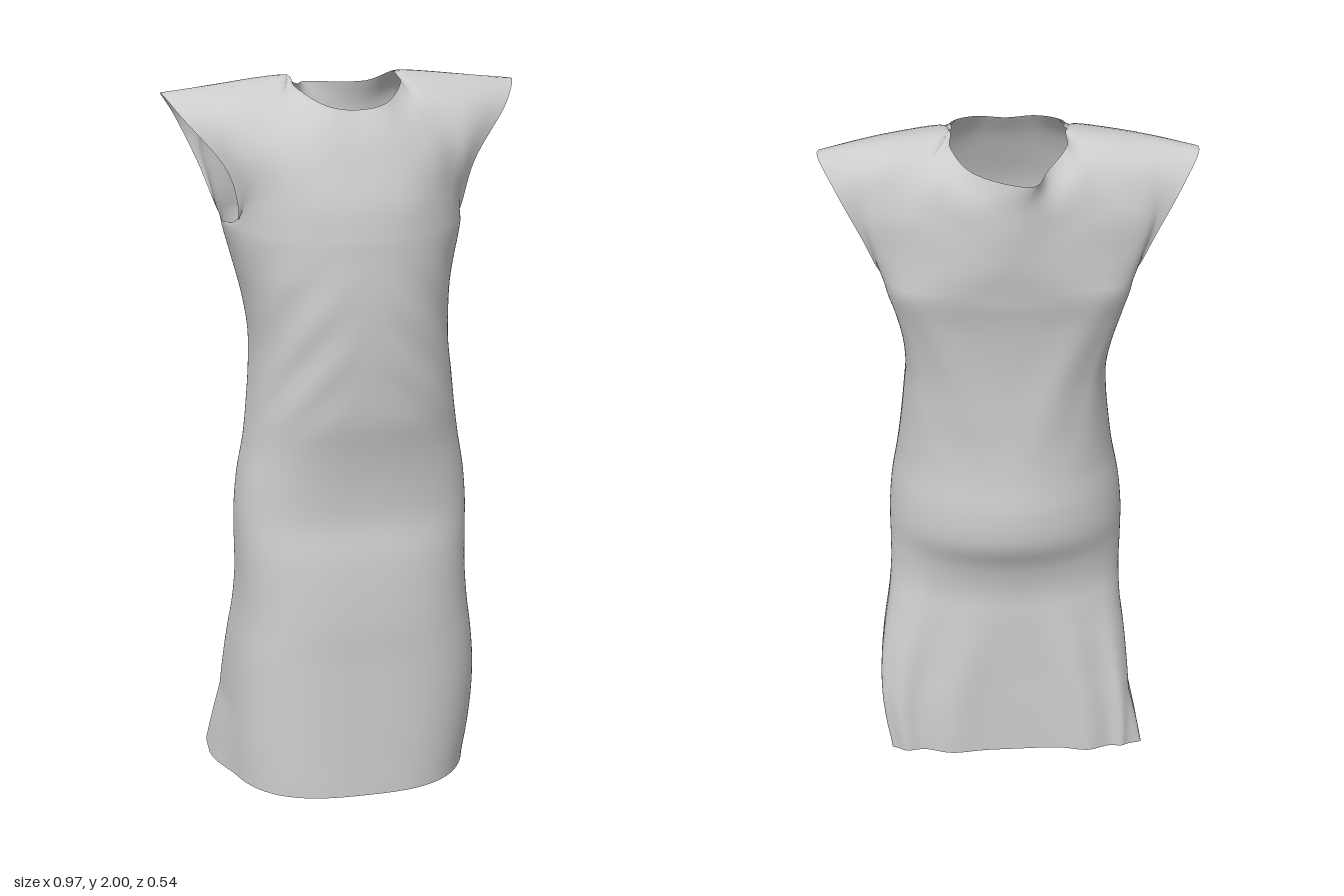
import * as THREE from 'three';
import { mergeVertices } from 'three/addons/utils/BufferGeometryUtils.js';

const V = (x, y, z) => new THREE.Vector3(x, y, z);
const { smoothstep } = THREE.MathUtils;
const CHEST = 1.6; // height of the armhole bottoms
const SHOULDER = .6; // panels meet along the shoulder from here outwards
const SEGS = 80, LOWER = 72, UPPER = 28;

// smooth profile over evenly spaced heights from hem to chest
function profile(values) {
  const curve = new THREE.SplineCurve(values.map((v, i) => new THREE.Vector2(i, v)));
  return (y) => curve.getPoint(y / CHEST).y;
}
const leftX = profile([.345, .36, .37, .37, .36, .345, .335, .333, .333, .325, .308, .295, .285, .277, .282, .30, .325]);
const rightX = profile([.36, .36, .355, .348, .338, .325, .32, .322, .322, .312, .293, .28, .27, .267, .28, .303, .325]);
const frontZ = profile([.27, .265, .26, .255, .25, .248, .24, .228, .21, .212, .225, .245, .255, .262, .265, .262, .255]);
const backZ = profile([-.195, -.192, -.188, -.183, -.178, -.172, -.168, -.19, -.235, -.24, -.225, -.215, -.213, -.213, -.218, -.228, -.245]);
const sideZ = profile([-.13, -.115, -.10, -.08, -.06, -.04, -.02, -.01, 0, 0, 0, -.01, -.02, -.03, -.05, -.07, -.09]);
// roundness of the cross-section: 1 is an ellipse, smaller is boxier
const frontRound = profile([.7, .7, .7, .7, .7, .72, .73, .74, .76, .78, .8, .8, .8, .82, .85, .88, .9]);
const backRound = profile([.5, .53, .58, .66, .74, .82, .9, .97, 1, 1, .96, .9, .82, .72, .62, .54, .5]);

// soft creases in the cloth, fading out at the side seams
function fold(u, y, front) {
  const fade = Math.cos(u * Math.PI / 2), a = Math.abs(u);
  const bust = Math.sin(Math.PI * THREE.MathUtils.clamp((y - 1.05) / (CHEST - 1.05), 0, 1));
  if (front) return .014 * fade * bust * a * Math.sin(34 * (y + .45 * a));
  const skirt = smoothstep(.65 - y, 0, .4);
  return fade * (.01 * skirt * Math.cos(u * 15 + 1) + .004 * bust * Math.cos(14 * a - 5 * y));
}

// rounded cross-section of the body below the armholes; u runs from right seam to left seam
function body(u, y, front) {
  const t = Math.abs(u) * Math.PI / 2;
  const p = front ? frontRound(y) : backRound(y);
  const s = Math.pow(Math.sin(t), p), c = Math.pow(Math.max(0, Math.cos(t)), p);
  const z0 = sideZ(y), z1 = front ? frontZ(y) : backZ(y);
  const flare = .035 * smoothstep(-u, .75, 1) * Math.max(0, 1 - y / .2); // right hem corner
  const x = u < 0 ? -rightX(y) * s - flare : leftX(y) * s;
  const z = z0 + (z1 - z0) * c + fold(u, y, front);
  const lift = .04 * smoothstep(-z, .08, .2) * Math.max(0, 1 - y / .3); // hem rises at the back
  return V(x, y + lift, z);
}

// columns from chest to neckline or shoulder: centre, two neck sides, neck corner, shoulder, armhole edge
const FRONT = [
  [[0, 1.70, .238], [0, 1.79, .205], [0, 1.87, .17], [0, 1.935, .13]],
  [[.125, 1.70, .222], [.11, 1.80, .193], [.09, 1.88, .16], [.075, 1.945, .12]],
  [[.20, 1.70, .182], [.19, 1.82, .158], [.165, 1.91, .11], [.143, 1.98, .015]],
  [[.255, 1.70, .13], [.245, 1.84, .12], [.20, 1.945, .055], [.151, 1.996, -.07]],
  [[.29, 1.69, .085], [.305, 1.81, .10], [.325, 1.925, .04], [.325, 1.978, -.08]],
  [[.305, 1.635, .045], [.335, 1.77, .072], [.445, 1.908, -.008], [.485, 1.955, -.11]],
];
const BACK = [
  [[0, 1.70, -.26], [-.01, 1.79, -.265], [-.03, 1.87, -.265], [-.06, 1.937, -.272]],
  [[.13, 1.70, -.247], [.125, 1.79, -.242], [.11, 1.87, -.236], [.095, 1.945, -.205]],
  [[.22, 1.70, -.228], [.205, 1.82, -.222], [.175, 1.92, -.20], [.147, 1.98, -.135]],
  [[.287, 1.71, -.21], [.275, 1.83, -.206], [.215, 1.945, -.165], [.151, 1.996, -.07]],
  [[.34, 1.71, -.19], [.36, 1.82, -.191], [.345, 1.935, -.16], [.325, 1.978, -.08]],
  [[.338, 1.635, -.14], [.375, 1.74, -.174], [.44, 1.88, -.172], [.485, 1.955, -.11]],
];

// one smooth crosswise curve per level, mirrored about the centre column
function levelCurves(columns) {
  return [0, 1, 2, 3].map((level) => {
    const half = columns.map((c) => V(...c[level]));
    const mirror = half.slice(1).reverse().map((p) => V(-p.x, p.y, p.z));
    return new THREE.CatmullRomCurve3([...mirror, ...half]);
  });
}
const LEVELS = [levelCurves(BACK), levelCurves(FRONT)];

// control points of one column, from chest to top
function riser(u, front) {
  return [body(u, CHEST, front), ...LEVELS[Number(front)].map((l) => l.getPoint((u + 1) / 2))];
}

// upper part of a column; at the shoulders it runs on over the top into the other panel
function upperCurve(u, front) {
  const own = riser(u, front);
  if (Math.abs(u) < SHOULDER - 1e-6) return [new THREE.CatmullRomCurve3(own), 1];
  const other = riser(u, !front);
  own[4].lerp(other[4], .5);
  return [new THREE.CatmullRomCurve3([...own, ...other.slice(0, 4).reverse()]), .5];
}

// grid of points for a whole panel, hem to top
function panelGrid(front) {
  const columns = [];
  for (let i = 0; i <= SEGS; i++) {
    const u = (2 * i) / SEGS - 1;
    const column = [];
    for (let j = 0; j <= LOWER; j++) column.push(body(u, CHEST * j / LOWER, front));
    const [curve, end] = upperCurve(u, front);
    for (let j = 1; j <= UPPER; j++) column.push(curve.getPoint(end * j / UPPER));
    columns.push(column);
  }
  return columns;
}

export function createModel() {
  const group = new THREE.Group();
  group.name = 'sleevelessDress';

  // front and back cloth, welded at the side and shoulder seams
  const rows = LOWER + UPPER, positions = [], index = [];
  [true, false].forEach((front) => {
    const base = positions.length / 3;
    panelGrid(front).forEach((column) => column.forEach((p) => positions.push(p.x, p.y, p.z)));
    for (let i = 0; i < SEGS; i++) {
      for (let j = 0; j < rows; j++) {
        const a = base + i * (rows + 1) + j, b = a + rows + 1;
        if (front) index.push(a, b, b + 1, a, b + 1, a + 1);
        else index.push(a, b + 1, b, a, a + 1, b + 1);
      }
    }
  });
  let geometry = new THREE.BufferGeometry();
  geometry.setAttribute('position', new THREE.Float32BufferAttribute(positions, 3));
  geometry.setIndex(index);
  geometry = mergeVertices(geometry, 1e-4);
  geometry.computeVertexNormals();

  const cloth = new THREE.MeshStandardMaterial({ color: 0xcccccc, side: THREE.DoubleSide });
  const dress = new THREE.Mesh(geometry, cloth);
  dress.name = 'dressCloth';
  group.add(dress);
  return group;
}
